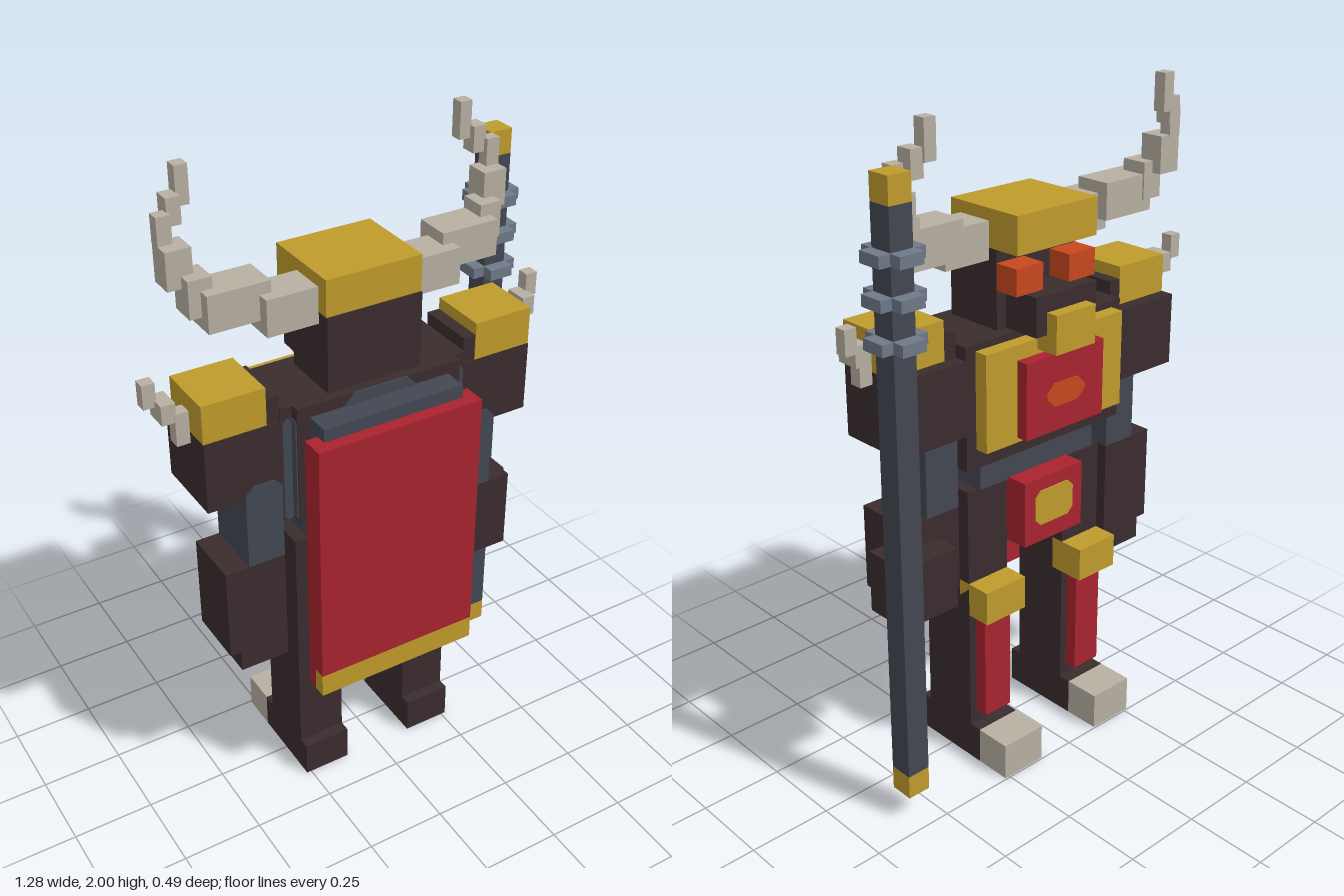
import * as THREE from 'three';

const mat = (name, color) => {
  const m = new THREE.MeshStandardMaterial({ color });
  m.name = name;
  return m;
};

export function createModel() {
  const hide = mat('dark hide', 0x3a2c2e);
  const slate = mat('slate', 0x434752);
  const red = mat('red', 0xa8232e);
  const gold = mat('gold', 0xc09b2c);
  const bone = mat('bone', 0xb7afa2);
  const steel = mat('steel', 0x707988);
  const orange = mat('orange', 0xc8481f);

  const model = new THREE.Group();
  model.name = 'hornedGuardian';

  // Box given by its extents on each axis
  function box(name, m, x0, x1, y0, y1, z0, z1, parent = model) {
    const mesh = new THREE.Mesh(new THREE.BoxGeometry(x1 - x0, y1 - y0, z1 - z0), m);
    mesh.position.set((x0 + x1) / 2, (y0 + y1) / 2, (z0 + z1) / 2);
    mesh.name = name;
    parent.add(mesh);
    return mesh;
  }
  // The same box on both sides of the body
  function pair(name, m, x0, x1, ...rest) {
    box(name + 'Left', m, x0, x1, ...rest);
    box(name + 'Right', m, -x1, -x0, ...rest);
  }
  // Thin plate with cut corners, lying in the xy plane
  function plate(name, m, x, y, z, w, h, cutTop, cutBottom = cutTop) {
    const a = w / 2, b = h / 2;
    const s = new THREE.Shape([
      [-a + cutBottom, -b], [a - cutBottom, -b], [a, -b + cutBottom], [a, b - cutTop],
      [a - cutTop, b], [-a + cutTop, b], [-a, b - cutTop], [-a, -b + cutBottom],
    ].map(([px, py]) => new THREE.Vector2(px, py)));
    const geo = new THREE.ExtrudeGeometry(s, { depth: 0.006, bevelEnabled: false });
    const mesh = new THREE.Mesh(geo, m);
    mesh.position.set(x, y, z - 0.003);
    mesh.name = name;
    model.add(mesh);
  }

  // Legs and feet
  pair('leg', hide, 0.115, 0.265, 0.115, 0.75, -0.09, 0.1);
  pair('foot', hide, 0.115, 0.265, 0, 0.115, -0.13, 0.135);
  pair('toeCap', bone, 0.115, 0.265, 0, 0.115, -0.245, -0.13);
  pair('shinGuard', red, 0.14, 0.24, 0.155, 0.5, -0.13, -0.09);
  pair('kneeGuard', gold, 0.115, 0.265, 0.5, 0.605, -0.168, -0.05);

  // Hips, belly and belt panel
  box('hips', hide, -0.265, 0.265, 0.72, 0.9, -0.09, 0.1);
  box('crotch', slate, -0.115, 0.115, 0.68, 0.72, -0.085, 0.095);
  box('belly', slate, -0.225, 0.225, 0.9, 0.99, -0.1, 0.1);
  box('beltPanel', red, -0.115, 0.115, 0.7, 0.905, -0.168, -0.09);
  plate('beltBuckle', gold, 0, 0.81, -0.169, 0.15, 0.11, 0.02);

  // Torso with the chest armour
  box('torso', hide, -0.3, 0.3, 0.99, 1.36, -0.13, 0.1);
  box('backPad', hide, -0.265, 0.265, 0.99, 1.36, 0.1, 0.13);
  box('backFrame', slate, -0.225, 0.225, 0.985, 1.325, 0.13, 0.205);
  plate('collarPatch', slate, 0, 1.34, 0.131, 0.23, 0.04, 0.03, 0);
  for (const s of [1, -1]) {
    plate('backStripe', slate, s * 0.28, 1.155, 0.101, 0.032, 0.33, 0.012);
    box('sideStripe', slate, s * 0.266 - 0.003, s * 0.266 + 0.003, 1.0, 1.32, 0.1, 0.127);
    plate('armPatch', slate, s * 0.358, 1.115, 0.101, 0.115, 0.05, 0.025, 0);
  }
  box('chestPlate', gold, -0.265, 0.265, 1.05, 1.34, -0.173, -0.13);
  box('chestPanel', red, -0.15, 0.15, 1.065, 1.295, -0.21, -0.173);
  plate('chestGem', orange, 0, 1.175, -0.211, 0.15, 0.07, 0.03);

  // Cape with a gold hem
  box('cape', red, -0.265, 0.265, 0.495, 1.285, 0.17, 0.245);
  box('capeHemLining', red, -0.264, 0.264, 0.42, 0.495, 0.17, 0.205);
  box('capeHem', gold, -0.265, 0.265, 0.42, 0.495, 0.205, 0.245);

  // Head
  box('head', hide, -0.15, 0.15, 1.36, 1.59, -0.09, 0.1);
  box('helmetCap', gold, -0.15, 0.15, 1.59, 1.7, -0.173, 0.095);
  box('snout', hide, -0.115, 0.115, 1.36, 1.475, -0.21, -0.09);
  box('chin', gold, -0.075, 0.075, 1.31, 1.425, -0.248, -0.13);
  pair('eye', orange, 0.05, 0.15, 1.475, 1.553, -0.168, -0.09);

  // Stepped horns, root to tip
  [
    [0.15, 0.305, 1.555, 1.665, -0.06, 0.055],
    [0.27, 0.455, 1.59, 1.7, -0.095, 0.018],
    [0.42, 0.49, 1.625, 1.735, -0.1, -0.018],
    [0.455, 0.53, 1.7, 1.81, -0.13, -0.055],
    [0.488, 0.53, 1.805, 1.89, -0.132, -0.095],
    [0.452, 0.493, 1.85, 1.928, -0.16, -0.11],
    [0.417, 0.455, 1.89, 2.0, -0.168, -0.13],
  ].forEach((e, i) => pair('hornSegment' + (i + 1), bone, ...e));

  // Shoulders, pads and their curved spikes
  pair('upperArm', hide, 0.3, 0.53, 1.1, 1.32, -0.132, 0.1);
  pair('shoulderInset', hide, 0.3, 0.34, 1.32, 1.4, -0.09, 0.095);
  pair('shoulderPad', gold, 0.34, 0.53, 1.32, 1.437, -0.09, 0.098);
  [
    [0.53, 0.57, 1.285, 1.385, -0.02, 0.02],
    [0.565, 0.607, 1.36, 1.42, -0.055, 0.018],
    [0.602, 0.64, 1.4, 1.473, -0.057, -0.02],
  ].forEach((e, i) => pair('shoulderSpike' + (i + 1), bone, ...e));

  // Elbows, forearms and hands
  pair('elbow', slate, 0.3, 0.415, 0.87, 1.1, -0.09, 0.1);
  box('forearmLeft', hide, 0.3, 0.49, 0.61, 0.87, -0.09, 0.1);
  box('fistLeft', hide, 0.375, 0.565, 0.61, 0.797, -0.168, -0.018);
  box('forearmRight', hide, -0.49, -0.3, 0.57, 0.87, -0.09, 0.1);
  box('handRight', hide, -0.455, -0.3, 0.5, 0.57, -0.09, 0.1);

  // Staff with cross-shaped rings and gold ends
  const staff = new THREE.Group();
  staff.name = 'staff';
  model.add(staff);
  box('staffShaft', slate, 0.528, 0.6, 0.155, 1.815, -0.205, -0.132, staff);
  box('staffFoot', gold, 0.528, 0.6, 0.082, 0.155, -0.205, -0.132, staff);
  box('staffTip', gold, 0.528, 0.6, 1.815, 1.89, -0.205, -0.132, staff);
  for (const y of [1.44, 1.555, 1.667]) {
    box('ringAcross', steel, 0.49, 0.637, y, y + 0.033, -0.207, -0.13, staff);
    box('ringAlong', steel, 0.526, 0.602, y, y + 0.033, -0.245, -0.093, staff);
  }

  return model;
}
